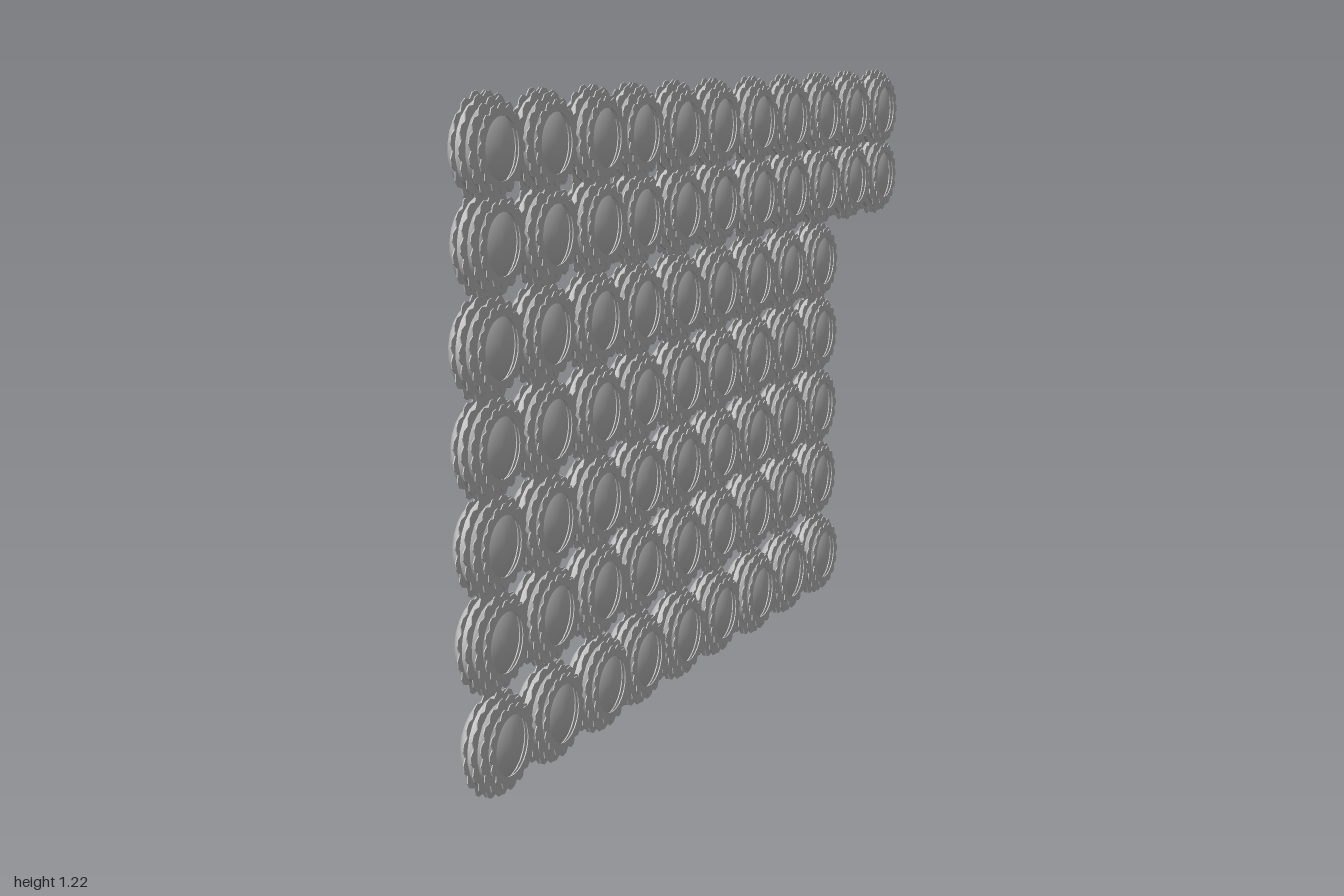
import * as THREE from 'three';
import { mergeGeometries } from 'three/addons/utils/BufferGeometryUtils.js';

const SCALLOPS = 16;
const STEPS = 3; // outline points per scallop

// Thin ring facing +x with a scalloped rim and a round hole
function laceLayer(inner, outer, x, turn) {
  const rim = [];
  const count = SCALLOPS * STEPS;
  for (let i = 0; i < count; i++) {
    const a = ((i / STEPS + turn) / SCALLOPS) * Math.PI * 2;
    const r = outer - 0.009 * (1 - Math.sin(((i % STEPS) / STEPS) * Math.PI));
    rim.push(new THREE.Vector2(Math.cos(a) * r, Math.sin(a) * r));
  }
  const shape = new THREE.Shape(rim);
  shape.holes.push(new THREE.Path().absarc(0, 0, inner, 0, Math.PI * 2, true));
  const g = new THREE.ExtrudeGeometry(shape, { depth: 0.002, bevelEnabled: false, curveSegments: 12 });
  return g.rotateY(Math.PI / 2).translate(x, 0, 0);
}

export function createModel() {
  const model = new THREE.Group();
  model.name = 'medallionPanel';

  const silver = new THREE.MeshStandardMaterial({ color: 0xc0c0c0 });
  silver.name = 'silver';

  // Flattened round body of one medallion
  const dome = new THREE.SphereGeometry(0.083, 22, 12);
  dome.rotateZ(Math.PI / 2);
  dome.scale(0.04 / 0.083, 1, 1);

  // Stacked lace layers: inner radius, outer radius, x, turn in scallops
  const lace = mergeGeometries([
    laceLayer(0.07, 0.097, -0.001, 0),
    laceLayer(0.068, 0.096, 0.014, 0.5),
    laceLayer(0.062, 0.088, 0.028, 0),
    laceLayer(0.054, 0.076, 0.039, 0.5),
  ]);

  // Grid of medallions, slightly uneven in depth
  const rows = [0.097, 0.28, 0.45, 0.62, 0.79, 0.965, 1.123];
  const columns = [0.903, 0.72, 0.535, 0.365, 0.185, 0.01, -0.17, -0.35, -0.535, -0.72, -0.903];
  rows.forEach((y, r) => {
    columns.forEach((z, c) => {
      if (c > 8 && r < 5) return; // only the top two rows run on into the arm
      const setBack = (r > 0 && r < 5) || (c > 2 && c < 6);
      const medallion = new THREE.Group();
      medallion.name = `medallionRow${r + 1}Column${c + 1}`;
      for (const [name, geometry] of [['dome', dome], ['laceLayers', lace]]) {
        const mesh = new THREE.Mesh(geometry, silver);
        mesh.name = name;
        medallion.add(mesh);
      }
      medallion.position.set(setBack ? -0.003 : 0.004, y, z);
      model.add(medallion);
    });
  });

  return model;
}
